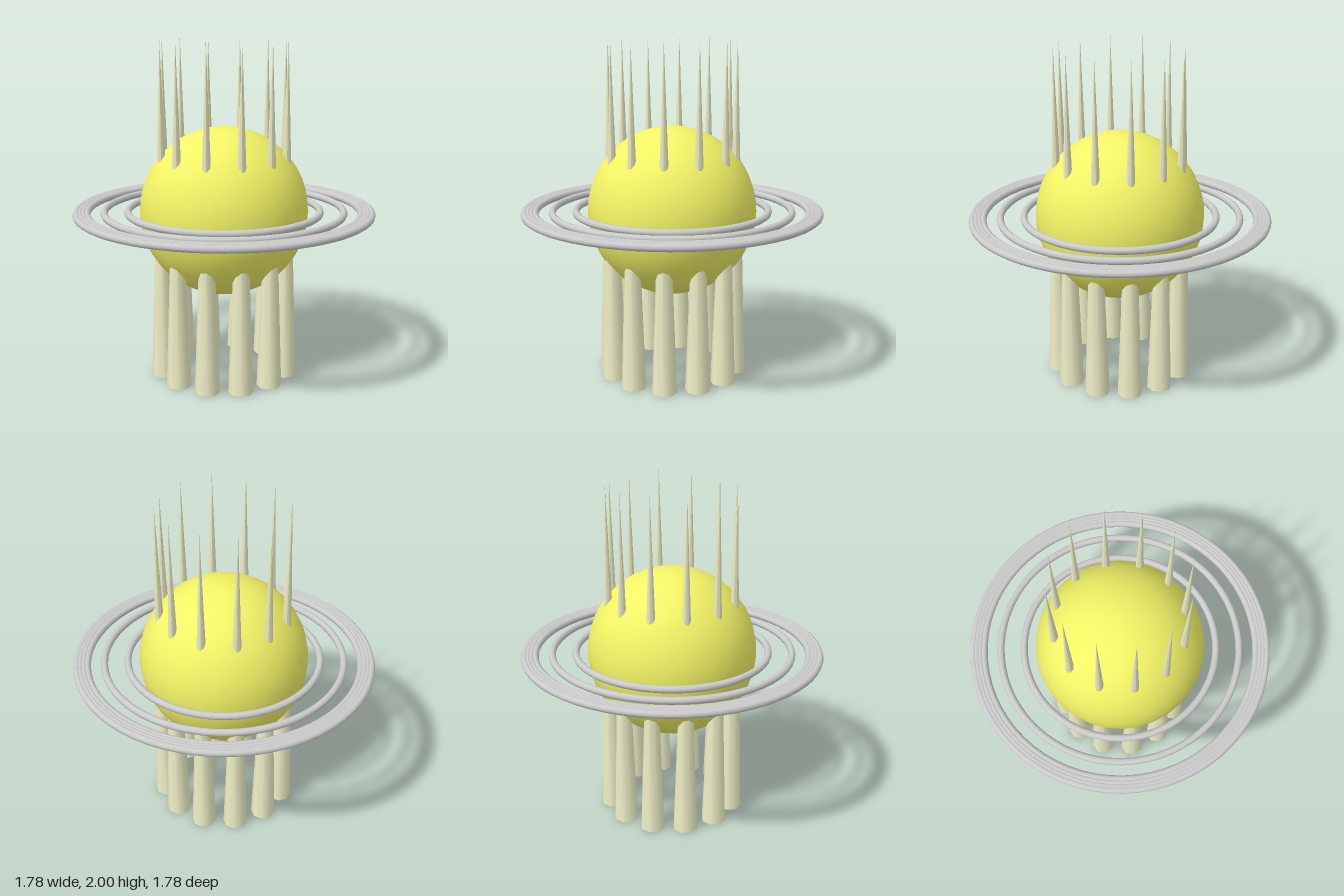
import * as THREE from 'three';

const material = (color) => new THREE.MeshStandardMaterial({ color });

export function createModel() {
  const model = new THREE.Group();
  const yellow = material(0xf2f266);
  const cream = material(0xf0f0c8);
  const grey = material(0xcccccc);

  const add = (parent, name, geometry, mat, x, y, z) => {
    const mesh = new THREE.Mesh(geometry, mat);
    mesh.name = name;
    mesh.position.set(x, y, z);
    parent.add(mesh);
    return mesh;
  };

  // Central globe
  add(model, 'globe', new THREE.SphereGeometry(0.5, 32, 24), yellow, 0, 1, 0);

  // Tall cones piercing the globe: wide legs below, thin spikes above
  const spikes = new THREE.Group();
  spikes.name = 'spikes';
  const cone = new THREE.ConeGeometry(0.073, 2, 8);
  const count = 12;
  for (let i = 0; i < count; i++) {
    const a = (i / count) * Math.PI * 2;
    add(spikes, 'spike', cone, cream, 0.375 * Math.cos(a), 1, 0.375 * Math.sin(a));
  }
  model.add(spikes);

  // Flat set of rings around the equator; the outer four overlap into a band
  const rings = new THREE.Group();
  rings.name = 'rings';
  for (const radius of [0.57, 0.708, 0.808, 0.83, 0.85, 0.87]) {
    const ring = add(rings, 'ring', new THREE.TorusGeometry(radius, 0.021, 10, 64), grey, 0, 1, 0);
    ring.rotation.x = Math.PI / 2;
  }
  model.add(rings);

  return model;
}
